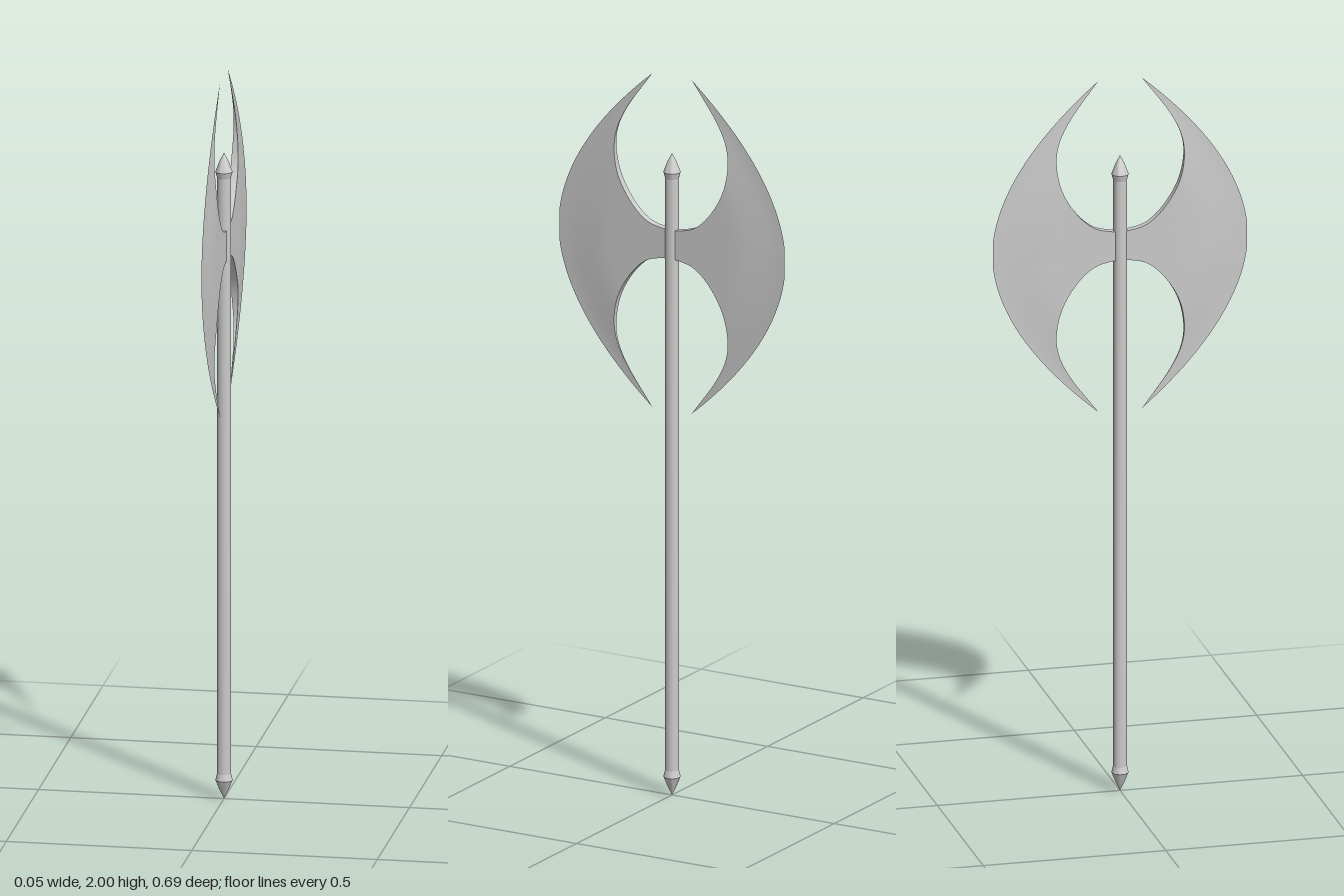
import * as THREE from 'three';
import { toCreasedNormals } from 'three/addons/utils/BufferGeometryUtils.js';

const MID = 1.535; // height of the blades' centre line
const HALF = 0.465; // half height of a blade
const material = new THREE.MeshStandardMaterial({ color: 0xcccccc });

function addPart(group, name, geometry, crease = 0.5) {
  const mesh = new THREE.Mesh(toCreasedNormals(geometry, crease), material);
  mesh.name = name;
  group.add(mesh);
  return mesh;
}

function lathe(points) {
  return new THREE.LatheGeometry(points.map(([r, y]) => new THREE.Vector2(r, y)), 24);
}

// Crescent blade: horizontal cross-sections from the upper tip to the lower tip
function bladeGeometry() {
  const cols = 16;
  const upper = new THREE.CatmullRomCurve3([
    [0.06, 2.0], [0.14, 1.89], [0.168, 1.83], [0.175, 1.775], [0.16, 1.70],
    [0.115, 1.627], [0.07, 1.589], [0.025, 1.577], [0, 1.575],
  ].map(([z, y]) => new THREE.Vector3(0, y, z))).getPoints(40);
  const lower = upper.map((p) => new THREE.Vector3(0, 2 * MID - p.y, p.z)).reverse();
  const inner = [...upper, ...lower];

  // Curved cutting edge, and a thickness that grows away from it
  const outerZ = (y) => 0.35 - 0.29 * Math.pow(Math.abs(y - MID) / HALF, 1.9);
  const halfThickness = (d) => 0.01 * THREE.MathUtils.smoothstep(d + 0.01, 0.01, 0.17);

  const positions = [];
  const index = [];
  const ring = 2 * cols + 1;
  inner.forEach((p, j) => {
    const width = Math.max(0, outerZ(p.y) - p.z);
    for (let k = 0; k < ring; k++) {
      const u = k <= cols ? k / cols : (2 * cols + 0 - k) / cols;
      const side = k <= cols ? 1 : -1;
      positions.push(side * halfThickness(width * (1 - u)), p.y, p.z + width * u);
      if (j === inner.length - 1) continue;
      const next = (k + 1) % ring;
      const a = j * ring + k, b = j * ring + next;
      const c = a + ring, d = b + ring;
      if (j > 0) index.push(a, b, d);
      if (j < inner.length - 2) index.push(a, d, c);
      else if (j === inner.length - 2) index.push(a, b, c);
    }
  });
  const geometry = new THREE.BufferGeometry();
  geometry.setAttribute('position', new THREE.Float32BufferAttribute(positions, 3));
  geometry.setIndex(index);
  return geometry;
}

export function createModel() {
  const group = new THREE.Group();
  group.name = 'doubleAxe';

  // Pole with a pointed cap on each end
  const shaft = new THREE.CylinderGeometry(0.0185, 0.0185, 1.67, 24);
  shaft.translate(0, 0.895, 0);
  addPart(group, 'shaft', shaft);
  addPart(group, 'topCap', lathe([
    [0, 1.718], [0.0185, 1.718], [0.023, 1.735], [0.012, 1.764], [0, 1.787],
  ]));
  addPart(group, 'bottomCap', lathe([
    [0, 0], [0.012, 0.025], [0.023, 0.052], [0.0185, 0.07], [0, 0.07],
  ]));

  // Two matching blades on opposite sides of the pole
  const blade = bladeGeometry();
  addPart(group, 'frontBlade', blade);
  addPart(group, 'backBlade', blade).rotation.y = Math.PI;

  return group;
}
